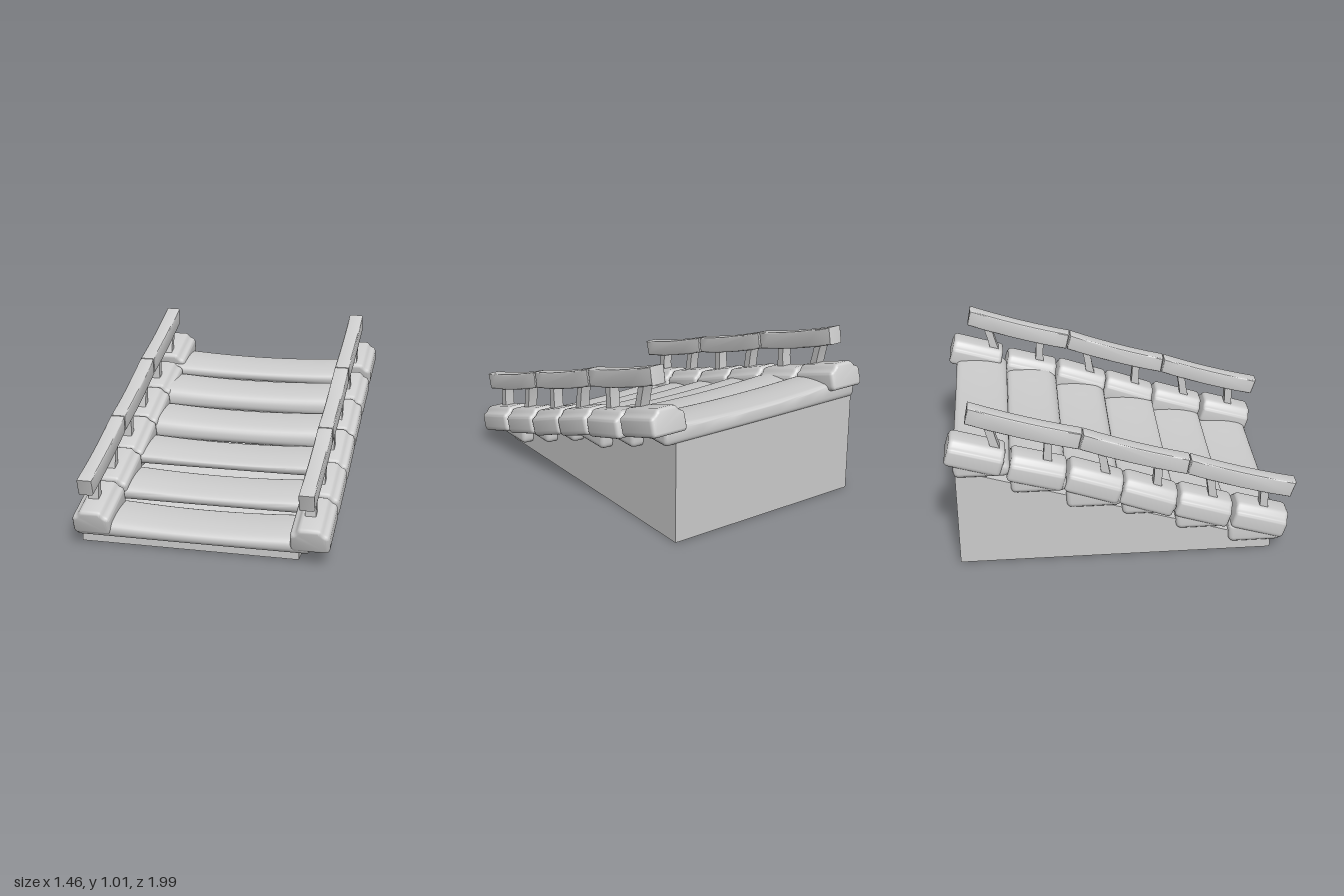
import * as THREE from 'three';
import { toCreasedNormals } from 'three/addons/utils/BufferGeometryUtils.js';

const stone = new THREE.MeshStandardMaterial({ color: 0xcccccc });
stone.name = 'pale grey';

function part(name, geometry, parent) {
  const mesh = new THREE.Mesh(geometry, stone);
  mesh.name = name;
  parent.add(mesh);
  return mesh;
}

// Extrudes a side outline (drawn as -z, y) across x, centred on x = 0
function sideExtrude(shape, width, bevel, steps = 1) {
  const g = new THREE.ExtrudeGeometry(shape, {
    depth: width - 2 * bevel, steps, curveSegments: 6,
    bevelEnabled: true, bevelThickness: bevel, bevelSize: bevel, bevelOffset: -bevel, bevelSegments: 3,
  });
  g.translate(0, 0, bevel - width / 2);
  g.rotateY(Math.PI / 2);
  return g;
}

// Puffy tread sagging towards the middle; its underside lies on y = 0
function plankGeometry(height) {
  const s = new THREE.Shape();
  s.moveTo(-0.11, 0);
  s.lineTo(0.12, 0);
  s.quadraticCurveTo(0.16, 0, 0.16, 0.04);
  s.lineTo(0.16, height - 0.02);
  s.quadraticCurveTo(0.155, height, 0.12, height);
  s.quadraticCurveTo(0, height + 0.005, -0.09, height - 0.02);
  s.quadraticCurveTo(-0.155, height - 0.035, -0.155, 0.045);
  s.quadraticCurveTo(-0.155, 0, -0.11, 0);
  const g = sideExtrude(s, 1.34, 0.025, 12);
  g.translate(-0.05, 0, 0);
  const p = g.attributes.position;
  for (let i = 0; i < p.count; i++) {
    const k = Math.max(0, 1 - (p.getX(i) / 0.52) ** 2);
    p.setY(i, p.getY(i) - 0.02 * k * p.getY(i) / height);
  }
  return toCreasedNormals(g, 0.8);
}

// End block with a flat hump along its top, run along z
function blockGeometry(length) {
  const b = 0.025;
  const s = new THREE.Shape();
  s.moveTo(-0.085, -0.075);
  s.lineTo(0.085, -0.075);
  s.quadraticCurveTo(0.11, -0.075, 0.11, -0.045);
  s.lineTo(0.11, 0.015);
  s.quadraticCurveTo(0.108, 0.035, 0.09, 0.04);
  s.bezierCurveTo(0.07, 0.045, 0.07, 0.075, 0.045, 0.075);
  s.lineTo(-0.045, 0.075);
  s.bezierCurveTo(-0.07, 0.075, -0.07, 0.045, -0.09, 0.04);
  s.quadraticCurveTo(-0.108, 0.035, -0.11, 0.015);
  s.lineTo(-0.11, -0.045);
  s.quadraticCurveTo(-0.11, -0.075, -0.085, -0.075);
  const g = new THREE.ExtrudeGeometry(s, {
    depth: length - 2 * b, curveSegments: 5,
    bevelThickness: b, bevelSize: 0.018, bevelOffset: -0.018, bevelSegments: 3,
  });
  g.translate(0, 0, b - length / 2);
  return toCreasedNormals(g, 0.8);
}

// Handrail piece between two ends [z, top y, z, bottom y]
function railGeometry(a, b) {
  const sag = 0.022;
  const s = new THREE.Shape();
  s.moveTo(-a[2], a[3]);
  s.quadraticCurveTo(-(a[2] + b[2]) / 2, (a[3] + b[3]) / 2 - sag, -b[2], b[3]);
  s.lineTo(-b[0], b[1]);
  s.quadraticCurveTo(-(a[0] + b[0]) / 2, (a[1] + b[1]) / 2 - sag, -a[0], a[1]);
  return toCreasedNormals(sideExtrude(s, 0.087, 0.01), 0.5);
}

// Slightly flared post leaning along z
function postGeometry(height, lean) {
  const g = new THREE.BoxGeometry(0.06, height, 0.05, 1, 4, 1);
  const p = g.attributes.position;
  for (let i = 0; i < p.count; i++) {
    const t = p.getY(i) / height;
    p.setZ(i, p.getZ(i) * (0.9 + 0.8 * t * t) + lean * t);
  }
  g.computeVertexNormals();
  return g;
}

export function createModel() {
  const model = new THREE.Group();
  model.name = 'stairway';

  // Solid wedge under the steps
  const w = new THREE.Shape();
  w.moveTo(-0.86, 0);
  w.lineTo(0.94, 0);
  w.lineTo(0.94, 0.62);
  w.lineTo(-0.86, 0.05);
  const wedge = new THREE.ExtrudeGeometry(w, { depth: 1.25, bevelEnabled: false });
  wedge.rotateY(Math.PI / 2);
  wedge.translate(-0.7, 0, 0);
  part('rampBase', wedge, model);

  // Steps: [plank z, plank bottom, plank top, block z, block y, block tilt, post lean]
  const steps = [
    [0.77, 0.055, 0.175, 0.795, 0.187, 17, 0.0],
    [0.46, 0.165, 0.275, 0.465, 0.28, 18, -0.03],
    [0.15, 0.28, 0.38, 0.145, 0.377, 20.5, 0.01],
    [-0.165, 0.345, 0.495, -0.165, 0.48, 19.5, -0.03],
    [-0.475, 0.46, 0.61, -0.485, 0.575, 16, 0.01],
    [-0.79, 0.575, 0.69, -0.825, 0.692, 17, -0.05],
  ];
  const block = blockGeometry(0.32);
  steps.forEach(([pz, y0, y1, bz, by, tilt]) => {
    part('plank', plankGeometry(y1 - y0), model).position.set(0, y0, pz);
    for (const side of [-1, 1]) {
      const m = part('endBlock', block, model);
      m.position.set(side * 0.62, by + (side > 0 ? 0.004 : 0), bz);
      m.rotation.x = THREE.MathUtils.degToRad(tilt);
    }
  });

  // Railings on both sides
  const joints = [
    [1.0, 0.42, 0.97, 0.325],
    [0.38, 0.61, 0.365, 0.513],
    [-0.228, 0.807, -0.25, 0.708],
    [-0.85, 1.0, -0.87, 0.9],
  ];
  for (const side of [-1, 1]) {
    const railing = new THREE.Group();
    railing.name = side > 0 ? 'leftRailing' : 'rightRailing';
    railing.position.set(side * 0.608 - 0.005 * (side < 0 ? 5 : 0), side > 0 ? 0.008 : -0.006, 0);
    model.add(railing);
    for (let i = 0; i < 3; i++) {
      const [a, b] = [joints[i], joints[i + 1]];
      const end = i < 2 ? b.map((v, k) => v + (k % 2 ? -0.002 : 0.006)) : b;
      part('handrail', railGeometry(a, end), railing);
    }
    steps.forEach((s, i) => {
      const z = 0.82 - i * 0.31;
      part('post', postGeometry(0.2, s[6]), railing).position.set(0, 0.315 + i * 0.0985, z);
    });
  }
  return model;
}
